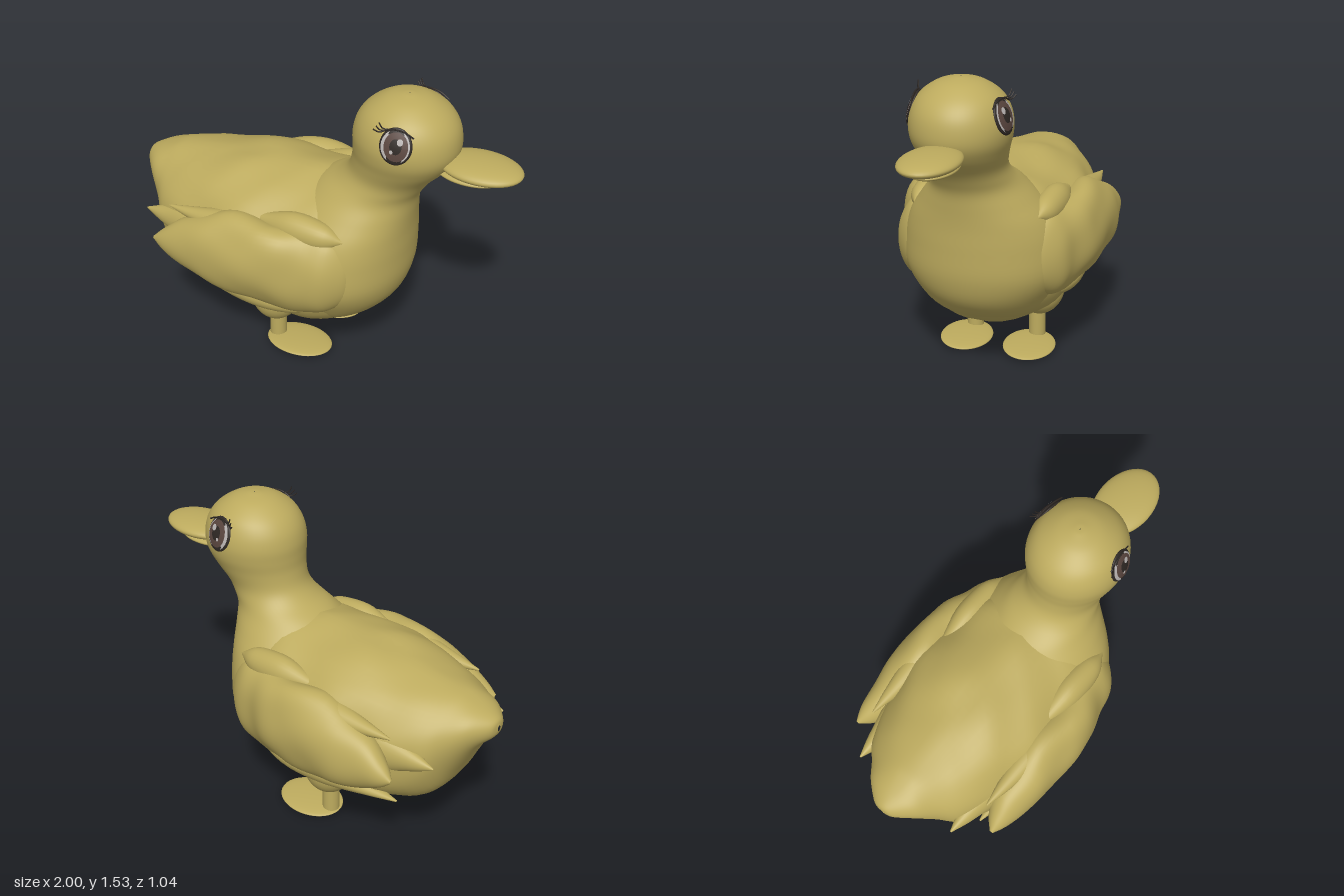
import * as THREE from 'three';

const mat = (name, color, side = THREE.FrontSide) => {
  const m = new THREE.MeshStandardMaterial({ color, side });
  m.name = name;
  return m;
};

// Uneven plumage, as a relative swelling of a cross-section
function plumage(x, y, z) {
  const w = Math.abs(z);
  return 0.5 * Math.sin(9 * x + 7 * y + 3 * Math.sin(6 * w)) + 0.35 * Math.sin(17 * x - 13 * y + 9 * z)
    + 0.3 * Math.sin(23 * y + 11 * x) * Math.cos(19 * z) - 0.25 * Math.abs(Math.sin(12 * x + 10 * w));
}

// Smooth skin over oval sections [t, aMin, aMax, bCentre, bHalf] along x (a = y) or y (a = x); b = z
function loft(sections, axis, rough = 0, square = 1, steps = 5, sides = 56) {
  const spline = new THREE.CubicInterpolant(sections.map((_, i) => i), sections.flat(), 5);
  const rows = (sections.length - 1) * steps;
  const pos = [], index = [];
  for (let i = 0; i <= rows; i++) {
    const [t, lo, hi, bc, bh] = spline.evaluate(i / steps);
    const fade = rough * Math.min(1, i / 6, (rows - i) / 6);
    for (let j = 0; j < sides; j++) {
      const q = (j / sides) * Math.PI * 2, c = Math.cos(q), s = Math.sin(q);
      const full = c < 0 ? square : 1;
      let a = c * (hi - lo) / 2, b = Math.sign(s) * Math.abs(s) ** full * Math.max(bh, 0);
      const k = 1 + fade * plumage(t, a, bc + b);
      a = a * k + (hi + lo) / 2;
      b *= k;
      if (axis === 'x') pos.push(t, a, bc + b);
      else pos.push(a, t, bc - b);
      if (i < rows) {
        const p = i * sides + j, n = i * sides + (j + 1) % sides;
        index.push(p, n, p + sides, n, n + sides, p + sides);
      }
    }
  }
  const g = new THREE.BufferGeometry();
  g.setAttribute('position', new THREE.Float32BufferAttribute(pos, 3));
  g.setIndex(index);
  g.computeVertexNormals();
  return g;
}

export function createModel() {
  const duck = new THREE.Group();
  duck.name = 'duck';
  const down = mat('olive yellow', 0xbdab5e);
  const dark = mat('dark rim', 0x2e2824, THREE.DoubleSide);
  const pale = mat('pale grey', 0xb9b4b2, THREE.DoubleSide);
  const brown = mat('iris brown', 0x5a463f, THREE.DoubleSide);

  const add = (name, geometry, material = down, parent = duck) => {
    const m = new THREE.Mesh(geometry, material);
    m.name = name;
    parent.add(m);
    return m;
  };
  const oval = (name, x, y, z, rx, ry, rz, material, parent) => {
    const m = add(name, new THREE.SphereGeometry(1, 40, 24), material, parent);
    m.position.set(x, y, z);
    m.scale.set(rx, ry, rz);
    return m;
  };

  // Body with raised tail
  add('body', loft([
    [-1.0, 0.79, 0.82, 0, 0.01], [-0.985, 0.755, 0.85, 0, 0.06], [-0.92, 0.68, 0.885, 0, 0.14],
    [-0.84, 0.53, 0.91, 0, 0.21], [-0.76, 0.39, 0.93, 0, 0.29], [-0.6, 0.31, 0.965, 0, 0.37],
    [-0.4, 0.255, 1.0, 0, 0.42], [-0.2, 0.225, 1.015, 0, 0.44], [0, 0.22, 1.02, 0, 0.43],
    [0.15, 0.24, 1.01, 0, 0.39], [0.27, 0.29, 0.93, 0, 0.32], [0.37, 0.4, 0.8, 0, 0.2],
    [0.41, 0.58, 0.62, 0, 0.01],
  ], 'x', 0.03, 0.8));

  // Breast, neck and head in one sweep
  add('neckAndHead', loft([
    [0.24, 0.02, 0.14, 0, 0.08], [0.31, -0.1, 0.3, 0, 0.25], [0.42, -0.2, 0.415, 0, 0.34],
    [0.55, -0.2, 0.465, 0, 0.395], [0.7, -0.2, 0.475, 0, 0.39], [0.82, -0.15, 0.478, 0, 0.35],
    [0.92, -0.08, 0.487, 0, 0.28], [1.0, 0.0, 0.5, 0, 0.22], [1.06, 0.1, 0.53, 0, 0.193],
    [1.12, 0.155, 0.572, 0, 0.186], [1.2, 0.177, 0.645, 0, 0.208], [1.27, 0.18, 0.685, 0, 0.23],
    [1.34, 0.182, 0.69, 0, 0.236], [1.41, 0.202, 0.672, 0, 0.22], [1.47, 0.248, 0.625, 0, 0.183],
    [1.52, 0.325, 0.548, 0, 0.11], [1.54, 0.4, 0.475, 0, 0.035], [1.543, 0.435, 0.44, 0, 0.002],
  ], 'y'));

  // Bill
  oval('upperBill', 0.8, 1.257, 0, 0.2, 0.042, 0.135);
  oval('lowerBill', 0.75, 1.213, 0, 0.165, 0.025, 0.105);

  // Pointed feather, tip towards the tail
  const feather = (name, x, y, z, length, h, w) => add(name, loft([
    [x, y - 0.004, y + 0.004, z, 0.004], [x + length * 0.2, y - h * 0.4, y + h * 0.35, z, w * 0.45],
    [x + length * 0.5, y - h * 0.9, y + h * 0.8, z, w * 0.9], [x + length * 0.8, y - h * 0.7, y + h * 0.7, z, w * 0.8],
    [x + length, y - 0.005, y + 0.005, z, 0.005],
  ], 'x', 0.06, 1, 5, 28));

  for (const s of [1, -1]) {
    // Folded wing: [x, bottom, top, outer z]
    const wing = [
      [-0.72, 0.615, 0.63, 0.44, 0.008], [-0.66, 0.56, 0.69, 0.465, 0.05], [-0.55, 0.5, 0.78, 0.49, 0.1],
      [-0.4, 0.45, 0.84, 0.515, 0.13], [-0.2, 0.42, 0.88, 0.525, 0.14], [-0.03, 0.41, 0.88, 0.505, 0.14],
      [0.1, 0.42, 0.87, 0.455, 0.12], [0.21, 0.44, 0.85, 0.43, 0.11], [0.29, 0.5, 0.78, 0.365, 0.08],
      [0.33, 0.62, 0.66, 0.29, 0.01],
    ].map(([x, lo, hi, out, half]) => [x, lo, hi, s * (out - half), half]);
    add('wing', loft(wing, 'x', 0.08));

    // Loose feathers behind and below the wing
    feather('rearFeather', -0.85, 0.67, s * 0.29, 0.6, 0.15, 0.1);
    feather('rearFeather', -0.79, 0.56, s * 0.23, 0.6, 0.14, 0.12);
    feather('upperFeather', -0.66, 0.79, s * 0.36, 0.7, 0.09, 0.08);
    feather('flankFeather', -0.68, 0.42, s * 0.32, 0.85, 0.09, 0.1);
    feather('shoulderFeather', -0.25, 0.85, s * 0.31, 0.52, 0.1, 0.08);

    // Leg and flat foot
    oval('thigh', -0.17, 0.31, s * 0.18, 0.13, 0.15, 0.13);
    add('leg', new THREE.CylinderGeometry(0.043, 0.043, 0.22, 24)).position.set(-0.17, 0.14, s * 0.17);
    oval('foot', -0.045, 0.029, s * 0.17, 0.175, 0.018, 0.13).rotation.x = -0.07;

    // Eye, facing out along the curve of the head
    const eye = new THREE.Group();
    eye.name = 'eye';
    eye.position.set(0.475, 1.39, s * 0.213);
    eye.lookAt(0.475 + 0.145, 1.39 + 0.3, s * (0.213 + 0.94));
    duck.add(eye);
    oval('eyeRim', 0, 0, 0, 0.076, 0.086, 0.017, dark, eye);

    const dome = (name, x, y, rx, ry, lift, material) => {
      const g = new THREE.RingGeometry(0.001, 1, 32, 5);
      const p = g.attributes.position;
      for (let i = 0; i < p.count; i++) {
        const u = s * x + p.getX(i) * rx, v = y + p.getY(i) * ry;
        p.setXYZ(i, u, v, lift - 2 * (u * u + v * v));
      }
      g.computeVertexNormals();
      add(name, g, material, eye);
    };
    dome('eyeWhite', 0, 0, 0.067, 0.077, 0.019, pale);
    dome('iris', 0.004, 0, 0.056, 0.068, 0.021, brown);
    dome('pupil', 0.004, 0.002, 0.028, 0.036, 0.023, dark);
    dome('glint', 0.022, 0.026, 0.014, 0.016, 0.025, pale);
    dome('glint', -0.014, -0.024, 0.008, 0.009, 0.025, pale);

    // Lid line and lashes sweeping back
    const hair = (name, points, r) => add(name, new THREE.TubeGeometry(
      new THREE.CatmullRomCurve3(points.map(([x, y, z]) => new THREE.Vector3(s * x, y, z))), 12, r, 6), dark, eye);
    hair('eyelid', [[-0.075, 0.055, 0.006], [-0.03, 0.075, 0.012], [0.03, 0.073, 0.012], [0.078, 0.05, 0.006]], 0.004);
    for (let i = 0; i < 3; i++)
      hair('lash', [[-0.04 - i * 0.013, 0.072 - i * 0.007, 0.008], [-0.065 - i * 0.01, 0.077 - i * 0.01, 0.018],
        [-0.08 - i * 0.012, 0.1 - i * 0.016, 0.03]], 0.003);
  }
  return duck;
}
